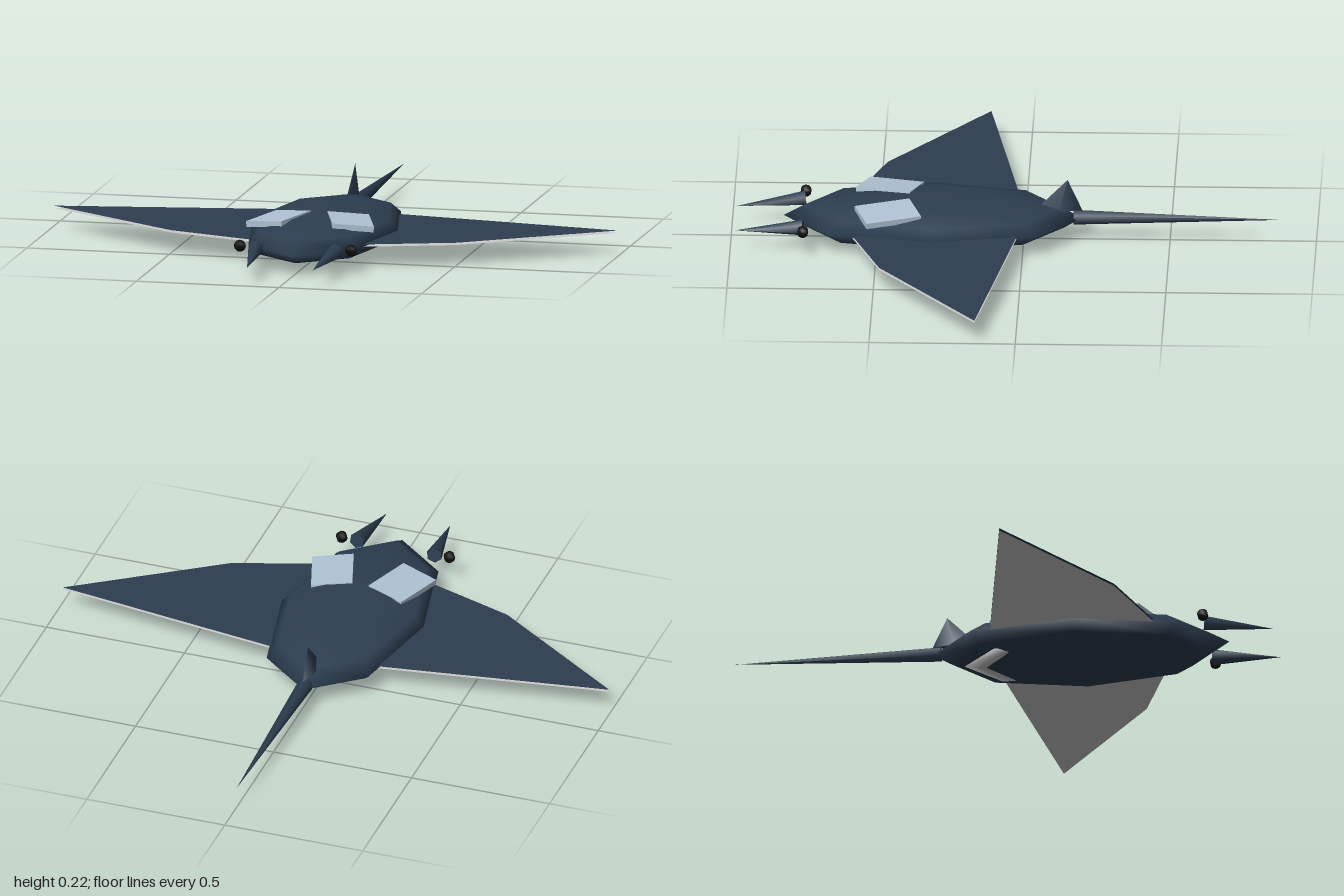
import * as THREE from 'three';

const mat = (color, side = THREE.FrontSide) => new THREE.MeshStandardMaterial({ color, side });

export function createModel() {
  const group = new THREE.Group();
  const slate = mat(0x2c3e50);
  const slateSheet = mat(0x2c3e50, THREE.DoubleSide);
  const paleSheet = mat(0xdddddd, THREE.DoubleSide);
  const pale = mat(0xdddddd);
  const patchMat = mat(0xb0c4d4);
  const black = mat(0x111111);

  const add = (name, geometry, material, x, y, z) => {
    const mesh = new THREE.Mesh(geometry, material);
    mesh.name = name;
    mesh.position.set(x, y, z);
    group.add(mesh);
    return mesh;
  };

  // Cone running from a base centre to a tip
  const spike = (name, base, tip, radius, sides) => {
    const a = new THREE.Vector3(...base);
    const dir = new THREE.Vector3(...tip).sub(a);
    const length = dir.length();
    const geometry = new THREE.ConeGeometry(radius, length, sides).translate(0, length / 2, 0);
    add(name, geometry, slate, ...base)
      .quaternion.setFromUnitVectors(new THREE.Vector3(0, 1, 0), dir.normalize());
  };

  // Flattened body, with a pale belly just showing at both ends
  add('body', new THREE.SphereGeometry(1, 8, 6).scale(0.26, 0.076, 0.51), slate, 0, 0.076, 0.31);
  add('belly', new THREE.SphereGeometry(1, 8, 6).scale(0.187, 0.015, 0.39), pale, 0, 0.029, 0.3);

  // Whip tail
  spike('tail', [0, 0.079, -0.17], [0, 0.077, -0.88], 0.027, 6);

  // Four-sided dorsal fin, leaning back
  const fin = new THREE.ConeGeometry(1, 0.11, 4).scale(0.022, 1, 0.08).translate(0, 0.055, 0);
  const p = fin.attributes.position;
  for (let i = 0; i < p.count; i++) p.setZ(i, p.getZ(i) - p.getY(i) * 0.27);
  fin.computeVertexNormals();
  add('dorsalFin', fin, slate, 0, 0.105, -0.12);

  for (const s of [1, -1]) {
    const side = s > 0 ? 'left' : 'right';

    // Wing: a dark upper sheet over a pale lower one
    const outline = [[0.1, 0.005], [0.4, 0.05], [0.99, 0.14], [0.5, 0.48], [0.1, 0.615]];
    const shape = new THREE.Shape(outline.map(([x, z]) => new THREE.Vector2(s * x, -z)));
    const sheet = new THREE.ShapeGeometry(shape).rotateX(-Math.PI / 2);
    add(side + 'WingTop', sheet, slateSheet, 0, 0.08, 0);
    add(side + 'WingUnderside', sheet, paleSheet, 0, 0.072, 0);

    // Head horn and eye
    spike(side + 'Horn', [s * 0.14, 0.085, 0.75], [s * 0.115, 0.062, 0.985], 0.028, 6);
    add(side + 'Eye', new THREE.SphereGeometry(0.021, 6, 6), black, s * 0.195, 0.09, 0.75);

    // Pale shoulder patch, sloping outwards
    const patch = add(side + 'ShoulderPatch', new THREE.BoxGeometry(0.142, 0.02, 0.195), patchMat,
      s * 0.126, 0.133, 0.461);
    patch.rotation.set(0, s * 0.32, -s * 0.1, 'ZYX');
  }

  return group;
}
